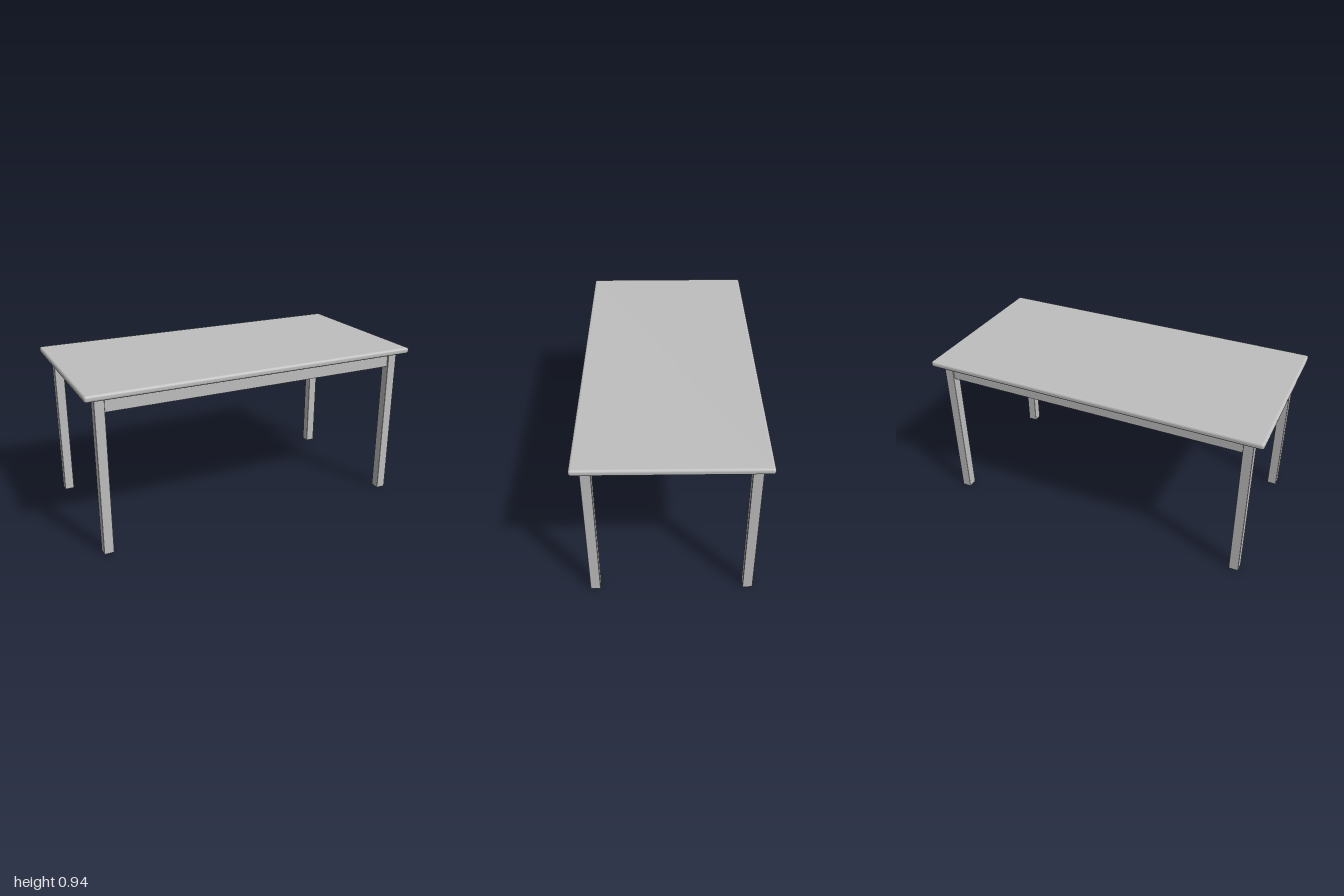
import * as THREE from 'three';
import { RoundedBoxGeometry } from 'three/addons/geometries/RoundedBoxGeometry.js';

export function createModel() {
  const table = new THREE.Group();
  table.name = 'table';
  const grey = new THREE.MeshStandardMaterial({ color: 0xbfbfbf });
  grey.name = 'plain grey';

  const add = (name, geometry, x, y, z) => {
    const mesh = new THREE.Mesh(geometry, grey);
    mesh.name = name;
    mesh.position.set(x, y, z);
    table.add(mesh);
  };

  // Top with rounded edges
  const topHeight = 0.938, topThickness = 0.036;
  const underside = topHeight - topThickness;
  add('tabletop', new RoundedBoxGeometry(2, topThickness, 1, 4, 0.014), 0, topHeight - topThickness / 2, 0);

  // Four square legs with softened edges, and a long rail at front and back
  const legWidth = 0.056, legX = 0.913, legZ = 0.427;
  const legGeometry = new RoundedBoxGeometry(legWidth, underside, legWidth, 2, 0.003);
  const railGeometry = new THREE.BoxGeometry(2 * legX - legWidth, 0.065, 0.037);
  for (const [end, sz] of [['front', 1], ['back', -1]]) {
    for (const [side, sx] of [['Left', 1], ['Right', -1]]) {
      add(`${end}${side}Leg`, legGeometry, sx * legX, underside / 2, sz * legZ);
    }
    add(`${end}Rail`, railGeometry, 0, 0.853, sz * legZ);
  }
  return table;
}
